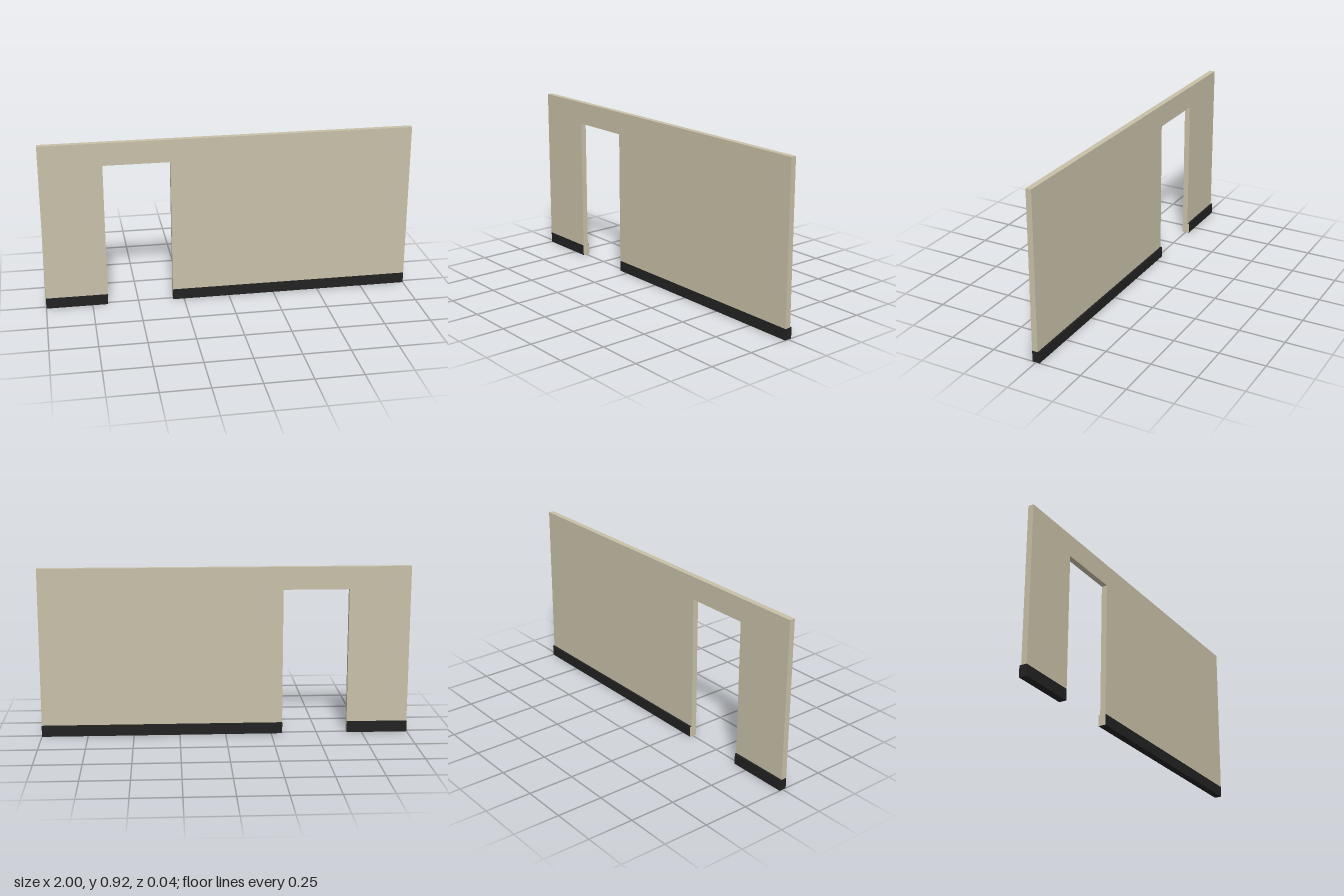
import * as THREE from 'three';

export function createModel() {
  const group = new THREE.Group();
  const plaster = new THREE.MeshStandardMaterial({ name: 'beige plaster', color: 0xc8c0a8 });
  const black = new THREE.MeshStandardMaterial({ name: 'black skirting', color: 0x222222 });

  const height = 0.92, skirtTop = 0.06, doorTop = 0.797;
  const doorLeft = -0.667, doorRight = -0.311;
  const front = 0.0205, wallBack = -0.0105;

  // Wall panel with the doorway cut out, resting on the skirting
  const outline = [
    [-1, skirtTop], [doorLeft, skirtTop], [doorLeft, doorTop], [doorRight, doorTop],
    [doorRight, skirtTop], [1, skirtTop], [1, height], [-1, height],
  ].map(([x, y]) => new THREE.Vector2(x, y));
  const wallGeometry = new THREE.ExtrudeGeometry(new THREE.Shape(outline), {
    depth: front - wallBack, bevelEnabled: false,
  });
  wallGeometry.translate(0, 0, wallBack);
  const wall = new THREE.Mesh(wallGeometry, plaster);
  wall.name = 'wall';
  group.add(wall);

  // Skirting: flush in front, proud at the back, plaster-coloured in the doorway
  function addSkirting(name, x0, x1, rightEnd, leftEnd) {
    const geometry = new THREE.BoxGeometry(x1 - x0, skirtTop, front * 2);
    const mesh = new THREE.Mesh(geometry, [rightEnd, leftEnd, black, black, black, black]);
    mesh.position.set((x0 + x1) / 2, skirtTop / 2, 0);
    mesh.name = name;
    group.add(mesh);
  }
  addSkirting('shortSkirting', -1, doorLeft, plaster, black);
  addSkirting('longSkirting', doorRight, 1, black, plaster);

  return group;
}
